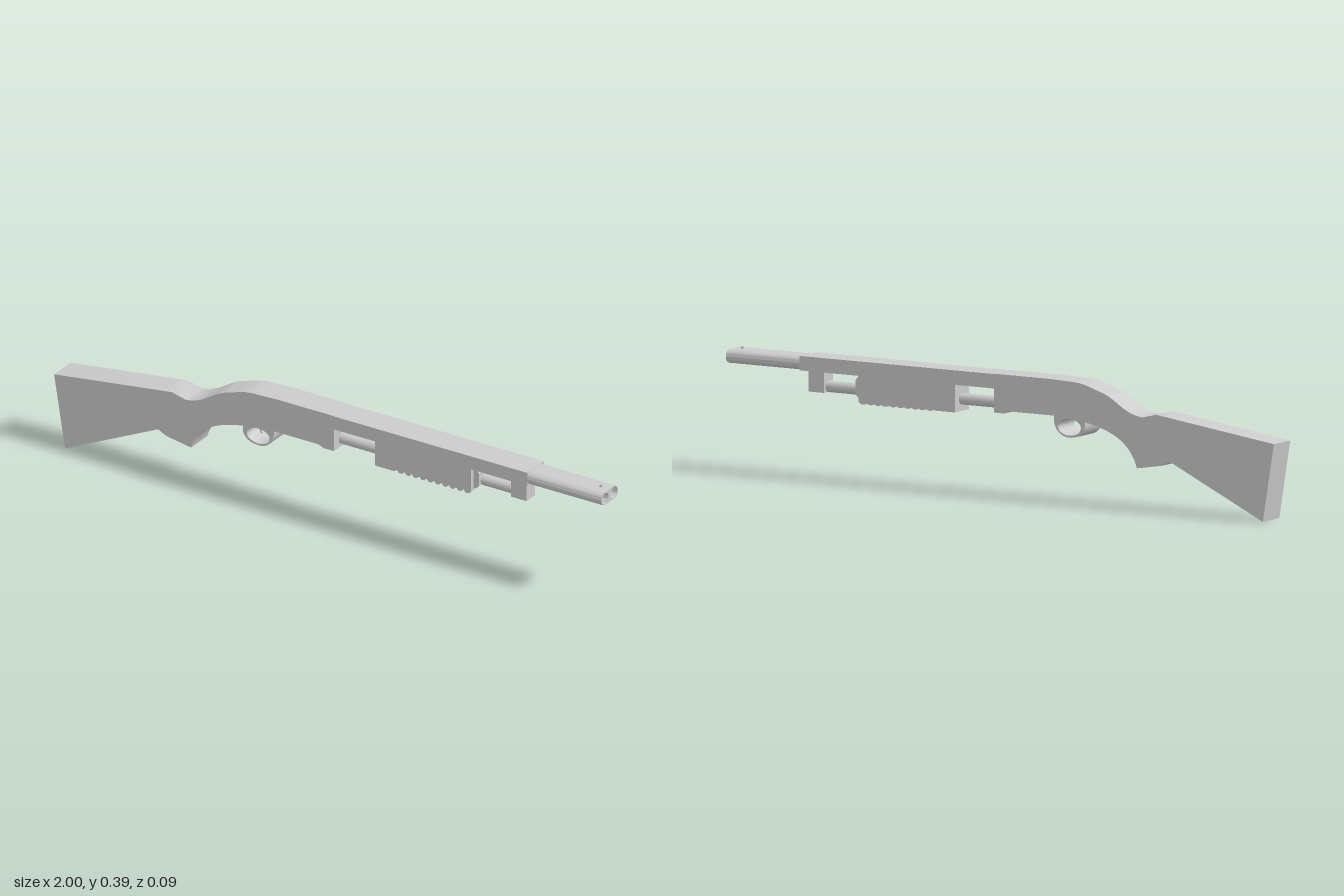
import * as THREE from 'three';
import { toCreasedNormals } from 'three/addons/utils/BufferGeometryUtils.js';

const material = new THREE.MeshStandardMaterial({ color: 0xcccccc });
const HALF = 0.047; // half thickness of the stock, receiver and cover

export function createModel() {
  const model = new THREE.Group();

  const add = (name, geometry) => {
    const mesh = new THREE.Mesh(geometry, material);
    mesh.name = name;
    model.add(mesh);
    return mesh;
  };
  const box = (name, x0, x1, y0, y1, half) =>
    add(name, new THREE.BoxGeometry(x1 - x0, y1 - y0, half * 2))
      .position.set((x0 + x1) / 2, (y0 + y1) / 2, 0);
  // Side profile extruded symmetrically across z
  const slab = (name, shape, half) => {
    const g = new THREE.ExtrudeGeometry(shape, { depth: half * 2, bevelEnabled: false, curveSegments: 16 });
    g.translate(0, 0, -half);
    return add(name, toCreasedNormals(g, 0.5));
  };

  // Stock, grip and receiver in one profile, with the trigger guard opening
  const body = new THREE.Shape();
  body.moveTo(-0.96, 0);
  body.lineTo(-0.62, 0.16);
  body.lineTo(-0.59, 0.145);
  body.lineTo(-0.5, 0.13);
  body.bezierCurveTo(-0.48, 0.2, -0.42, 0.24, -0.31, 0.258);
  body.bezierCurveTo(-0.315, 0.23, -0.295, 0.206, -0.255, 0.206);
  body.bezierCurveTo(-0.215, 0.206, -0.195, 0.235, -0.197, 0.27);
  body.lineTo(-0.035, 0.27);
  body.lineTo(-0.015, 0.262);
  body.lineTo(0.022, 0.262);
  body.lineTo(0.022, 0.337);
  body.lineTo(0.022, 0.383);
  body.lineTo(-0.18, 0.383);
  body.lineTo(-0.27, 0.38);
  body.bezierCurveTo(-0.31, 0.378, -0.33, 0.368, -0.365, 0.357);
  body.bezierCurveTo(-0.42, 0.345, -0.45, 0.295, -0.52, 0.29);
  body.lineTo(-0.57, 0.302);
  body.lineTo(-0.61, 0.297);
  body.lineTo(-1, 0.245);
  const guardHole = new THREE.Path();
  guardHole.absellipse(-0.254, 0.238, 0.042, 0.026, 0, Math.PI * 2, true);
  body.holes.push(guardHole);
  slab('stockAndReceiver', body, HALF);

  // Curved trigger
  const triggerCurve = new THREE.QuadraticBezierCurve3(
    new THREE.Vector3(-0.272, 0.264, 0),
    new THREE.Vector3(-0.282, 0.24, 0),
    new THREE.Vector3(-0.268, 0.224, 0));
  add('trigger', new THREE.TubeGeometry(triggerCurve, 8, 0.004, 8));

  // Long cover over the barrels
  box('barrelCover', 0.022, 0.73, 0.337, 0.382, HALF);

  // Paired barrel: rounded sides, flat top and bottom, two bores
  const r = 0.0215, cz = 0.0255, cy = 0.3585;
  const section = new THREE.Shape();
  section.absarc(cz, cy, r, -Math.PI / 2, Math.PI / 2, false);
  section.absarc(-cz, cy, r, Math.PI / 2, Math.PI * 1.5, false);
  for (const side of [-1, 1]) {
    const bore = new THREE.Path();
    bore.absarc(side * cz, cy, 0.0185, 0, Math.PI * 2, true);
    section.holes.push(bore);
  }
  const barrel = new THREE.ExtrudeGeometry(section, { depth: 0.28, bevelEnabled: false, curveSegments: 16 });
  barrel.rotateY(Math.PI / 2);
  barrel.translate(0.72, 0, 0);
  add('barrels', toCreasedNormals(barrel, 0.6));

  // Front sight bead
  box('frontSight', 0.965, 0.973, 0.378, 0.387, 0.003);

  // Magazine tube with its end block
  const tube = add('magazineTube', new THREE.CylinderGeometry(0.018, 0.018, 0.66, 24));
  tube.rotation.z = Math.PI / 2;
  tube.position.set(0.345, 0.288, 0);
  box('tubeEndBlock', 0.655, 0.712, 0.27, 0.3372, 0.025);

  // Sliding fore-end with a ridged underside and stepped front
  const grip = new THREE.Shape();
  grip.moveTo(0.168, 0.337);
  grip.lineTo(0.168, 0.25);
  grip.lineTo(0.24, 0.25);
  const ridges = 10, pitch = 0.027;
  for (let i = 0; i < ridges; i++) {
    const x = 0.24 + i * pitch;
    grip.lineTo(x + 0.005, 0.256);
    grip.lineTo(x + 0.011, 0.256);
    grip.lineTo(x + 0.016, 0.248);
    grip.lineTo(x + pitch, 0.248);
  }
  grip.lineTo(0.52, 0.256);
  grip.lineTo(0.52, 0.337);
  slab('foreEnd', grip, 0.041);
  const nose = new THREE.Shape();
  nose.moveTo(0.515, 0.262);
  nose.lineTo(0.53, 0.266);
  nose.lineTo(0.54, 0.275);
  nose.lineTo(0.54, 0.318);
  nose.lineTo(0.525, 0.337);
  nose.lineTo(0.515, 0.337);
  slab('foreEndNose', nose, 0.027);

  return model;
}
